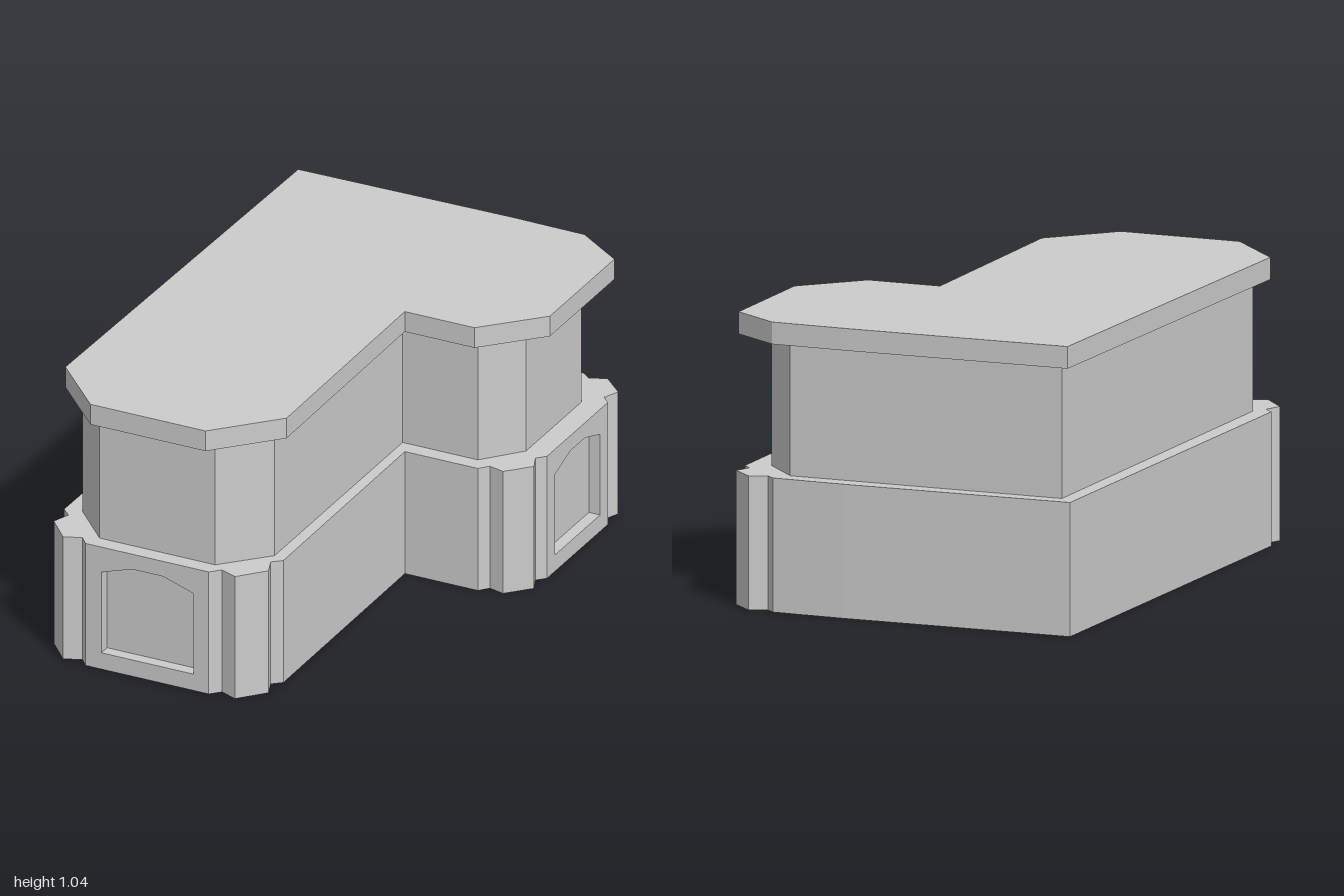
import * as THREE from 'three';

const material = new THREE.MeshStandardMaterial({ color: 0xcccccc, flatShading: true });
const BASE_TOP = 0.485, BODY_TOP = 0.965, SLAB_TOP = 1.045, RECESS = 0.045;

const toShape = (points) => new THREE.Shape(points.map(([x, y]) => new THREE.Vector2(x, y)));

// Solid standing between two heights over a plan outline given as [x, z]
function prism(name, plan, bottom, top) {
  const shape = toShape(plan.map(([x, z]) => [x, -z]));
  const geometry = new THREE.ExtrudeGeometry(shape, { depth: top - bottom, bevelEnabled: false });
  geometry.rotateX(-Math.PI / 2).translate(0, bottom, 0);
  const mesh = new THREE.Mesh(geometry, material);
  mesh.name = name;
  return mesh;
}

// Wall panel pierced by an arched opening, filling a pocket in the base
function nichePanel(name, u0, u1, open0, open1) {
  const shape = toShape([[u0, 0], [u1, 0], [u1, BASE_TOP], [u0, BASE_TOP]]);
  const shoulder = (open1 - open0) / 3;
  shape.holes.push(toShape([
    [open0, 0.065], [open0, 0.385], [open0 + shoulder, 0.425],
    [open1 - shoulder, 0.425], [open1, 0.385], [open1, 0.065],
  ]));
  const mesh = new THREE.Mesh(
    new THREE.ExtrudeGeometry(shape, { depth: RECESS, bevelEnabled: false }), material);
  mesh.name = name;
  return mesh;
}

export function createModel() {
  const model = new THREE.Group();
  model.name = 'fireplace';

  // Base: L-shaped plan with corner pilasters and two pockets for the niches
  const frontZ = 0.995, sideX = 0.66;
  const basePlan = [
    [-0.66, -0.985], [-0.675, 0.79],
    // front left pilaster
    [-0.64, 0.825], [-0.665, 0.89], [-0.58, 0.985], [-0.515, 0.96],
    // front pocket
    [-0.485, frontZ], [-0.485, frontZ - RECESS], [0.005, frontZ - RECESS], [0.005, frontZ],
    // front inner pilaster
    [0.04, 0.96], [0.105, 0.985], [0.19, 0.89], [0.165, 0.825], [0.2, 0.795],
    // inside corner
    [0.195, -0.16], [0.485, -0.16],
    // wing front pilaster
    [0.515, -0.195], [0.575, -0.18], [0.655, -0.265], [0.63, -0.325],
    // side pocket
    [sideX, -0.357], [sideX - RECESS, -0.357], [sideX - RECESS, -0.83], [sideX, -0.83],
    // wing back pilaster
    [0.63, -0.86], [0.655, -0.92], [0.575, -0.995], [0.51, -0.97],
    [0.48, -0.995], [0.2, -1],
  ];
  model.add(prism('base', basePlan, 0, BASE_TOP));

  const frontPanel = nichePanel('frontNichePanel', -0.485, 0.005, -0.422, -0.055);
  frontPanel.position.z = frontZ - RECESS;
  const sidePanel = nichePanel('sideNichePanel', 0.357, 0.83, 0.42, 0.77);
  sidePanel.rotation.y = Math.PI / 2;
  sidePanel.position.x = sideX - RECESS;
  model.add(frontPanel, sidePanel);

  // Upper body, set back from the base
  model.add(prism('upperBody', [
    [-0.605, -0.93], [-0.61, 0.775], [-0.46, 0.935], [0, 0.935], [0.155, 0.775],
    [0.155, -0.22], [0.455, -0.22], [0.575, -0.36], [0.575, -0.79], [0.44, -0.935],
  ], BASE_TOP, BODY_TOP));

  // Overhanging top slab
  model.add(prism('topSlab', [
    [-0.645, -0.972], [-0.675, 0.78], [-0.463, 1], [-0.005, 1], [0.205, 0.78],
    [0.198, -0.153], [0.475, -0.153], [0.672, -0.355], [0.672, -0.857],
    [0.49, -0.98], [0.2, -0.984],
  ], BODY_TOP, SLAB_TOP));

  return model;
}
